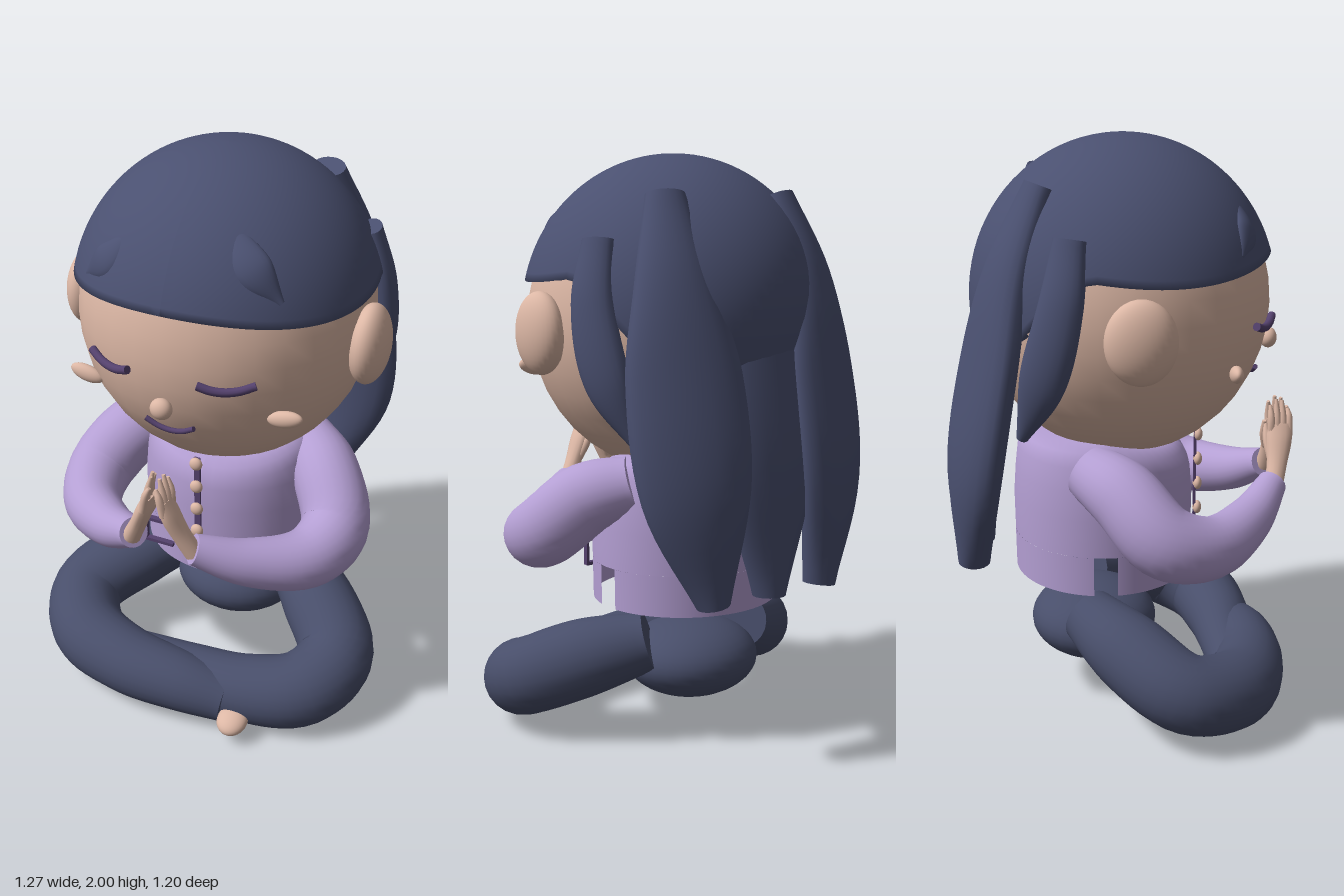
import * as THREE from 'three';

const mat = (name, color, side = THREE.FrontSide) => {
  const m = new THREE.MeshStandardMaterial({ color, side });
  m.name = name;
  return m;
};
const V = (p) => new THREE.Vector3(...p);

// Sweep an ellipse along a smooth path; sizes are [halfWidth, halfThickness] at even steps,
// thickness points towards ref. Ends are closed flat.
function sweep(path, sizes, ref, steps = 28, sides = 20) {
  const curve = new THREE.CatmullRomCurve3(path.map(V));
  const sizeCurve = new THREE.CatmullRomCurve3(sizes.map(([w, t], i) => new THREE.Vector3(w, t, i)));
  const pos = [], idx = [];
  const ring = (i) => {
    const u = i / steps, p = curve.getPoint(u), T = curve.getTangent(u), s = sizeCurve.getPoint(u);
    const side = T.clone().cross(V(ref)).normalize();
    const n = side.clone().cross(T).normalize();
    for (let j = 0; j < sides; j++) {
      const a = (j / sides) * Math.PI * 2;
      const q = p.clone().addScaledVector(side, Math.cos(a) * s.x).addScaledVector(n, Math.sin(a) * s.y);
      pos.push(q.x, q.y, q.z);
    }
    return p;
  };
  for (let i = 0; i <= steps; i++) ring(i);
  for (let i = 0; i < steps; i++) {
    for (let j = 0; j < sides; j++) {
      const a = i * sides + j, b = i * sides + ((j + 1) % sides), c = a + sides, d = b + sides;
      idx.push(a, c, b, b, c, d);
    }
  }
  for (const end of [0, steps]) {
    const base = pos.length / 3, c = ring(end), mid = pos.length / 3;
    pos.push(c.x, c.y, c.z);
    for (let j = 0; j < sides; j++) {
      const a = base + j, b = base + ((j + 1) % sides);
      if (end === 0) idx.push(mid, a, b);
      else idx.push(mid, b, a);
    }
  }
  const g = new THREE.BufferGeometry();
  g.setAttribute('position', new THREE.Float32BufferAttribute(pos, 3));
  g.setIndex(idx);
  g.computeVertexNormals();
  return g;
}

const HEAD_Y = 1.46;
const faceZ = (x, y) => 0.505 * Math.sqrt(Math.max(0, 1 - (x / 0.505) ** 2 - ((y - HEAD_Y) / 0.55) ** 2));

// Rounded hair shell whose lower edge drops at the back of the head
function hairCapGeometry() {
  const g = new THREE.SphereGeometry(1, 96, 28), p = g.attributes.position, uv = g.attributes.uv;
  for (let i = 0; i < p.count; i++) {
    const a = uv.getX(i) * Math.PI * 2, row = Math.round((1 - uv.getY(i)) * 28);
    const away = Math.abs(a > Math.PI ? a - 2 * Math.PI : a);
    const edge = 1.597 + 0.022 * Math.cos(2.6 * Math.min(away, 1.8)) - 0.32 * THREE.MathUtils.smoothstep(away, 1.75, 2.65);
    const theta = (Math.min(row, 27) / 27) * Math.acos((edge - HEAD_Y) / 0.54);
    const r = row === 28 ? 0.49 : 0.521; // last row folds in as the rim
    p.setXYZ(i, r * Math.sin(theta) * Math.sin(a), HEAD_Y + 0.54 * Math.cos(theta), r * Math.sin(theta) * Math.cos(a));
  }
  g.computeVertexNormals();
  return g;
}

export function createModel() {
  const skin = mat('skin', 0xdcb7a5);
  const hair = mat('hair', 0x4a5070, THREE.DoubleSide);
  const trousers = mat('trousers', 0x484e6a);
  const shirt = mat('shirt', 0xb49fd3, THREE.DoubleSide);
  const trim = mat('trim', 0x55426e);

  const root = new THREE.Group();
  root.name = 'meditatingFigure';
  const add = (name, geo, m, parent = root) => {
    const mesh = new THREE.Mesh(geo, m);
    mesh.name = name;
    parent.add(mesh);
    return mesh;
  };
  const ball = (name, m, c, r) => {
    const mesh = add(name, new THREE.SphereGeometry(1, 32, 20), m);
    mesh.position.set(...c);
    mesh.scale.set(...r);
    return mesh;
  };
  const line = (name, pts, r) => add(name, sweep(pts, [[r, r], [r, r]], [0, 0, 1], 16, 10), trim);

  // Head and face
  ball('head', skin, [0, HEAD_Y - 0.012, 0], [0.5, 0.535, 0.5]);
  ball('nose', skin, [0, 1.3, 0.505], [0.037, 0.036, 0.03]);
  for (const s of [-1, 1]) {
    ball('ear', skin, [s * 0.513, 1.415, 0.035], [0.066, 0.137, 0.116]);
    ball('cheek', skin, [s * 0.353, 1.266, 0.352], [0.061, 0.029, 0.022]).rotation.z = s * 0.22;
    const lid = [-1, -0.5, 0, 0.5, 1].map((t) => {
      const x = s * (0.202 + t * 0.083), y = 1.387 + 0.02 * t * t;
      return [x, y, faceZ(x, y) + 0.008];
    });
    line('closedEye', lid, 0.014);
  }
  line('mouth', [-1, -0.5, 0, 0.5, 1].map((t) => {
    const x = t * 0.085, y = 1.188 + 0.03 * t * t;
    return [x, y, faceZ(x, y) + 0.006];
  }), 0.009);

  // Hair: cap, fringe locks, long back locks and short side locks
  add('hairCap', hairCapGeometry(), hair);
  const lock = (name, path, sizes, ref) => add(name, sweep(path, sizes, ref), hair);
  lock('fringeLock', [[0.13, 1.87, 0.28], [0.24, 1.76, 0.355], [0.33, 1.66, 0.345]],
    [[0.012, 0.01], [0.06, 0.026], [0.012, 0.01]], [0.5, 0.4, 1]);
  lock('fringeLock', [[-0.16, 1.8, 0.35], [-0.24, 1.71, 0.384], [-0.32, 1.64, 0.36]],
    [[0.012, 0.01], [0.055, 0.024], [0.012, 0.01]], [-0.5, 0.4, 1]);
  for (const s of [-1, 1]) {
    lock('backLock',
      [[s * 0.235, 1.86, -0.275], [s * 0.275, 1.6, -0.375], [s * 0.285, 1.3, -0.445], [s * 0.28, 0.93, -0.505], [s * 0.225, 0.575, -0.52]],
      [[0.065, 0.045], [0.125, 0.065], [0.188, 0.072], [0.178, 0.075], [0.055, 0.055]], [s * 0.4, 0, -1]);
    lock('sideLock',
      [[s * 0.425, 1.72, -0.18], [s * 0.468, 1.52, -0.21], [s * 0.455, 1.28, -0.27], [s * 0.38, 1.07, -0.34]],
      [[0.055, 0.035], [0.075, 0.045], [0.08, 0.045], [0.02, 0.02]], [s, 0, -0.5]);
  }
  lock('middleLock',
    [[-0.03, 1.62, -0.4], [-0.03, 1.38, -0.44], [-0.02, 0.98, -0.495], [-0.01, 0.57, -0.515]],
    [[0.09, 0.04], [0.175, 0.065], [0.185, 0.075], [0.055, 0.055]], [0, 0, -1]);

  // Shirt body with a neckline dipping at the front, and tails parted by side slits
  const lathe = (name, prof, start, len) => {
    const geo = new THREE.LatheGeometry(prof.map((p) => new THREE.Vector2(...p)), 48, start, len);
    const mesh = add(name, geo, shirt);
    mesh.position.z = -0.07;
    mesh.scale.x = 1.05;
    return geo;
  };
  const body = lathe('shirtBody',
    [[0.314, 0.62], [0.316, 0.75], [0.309, 0.85], [0.3, 0.93], [0.282, 0.98], [0.245, 1.005], [0.1, 1.0]], 0, Math.PI * 2);
  const bp = body.attributes.position;
  for (let i = 0; i < bp.count; i++) {
    const high = THREE.MathUtils.smoothstep(bp.getY(i), 0.8, 1.0);
    bp.setY(i, bp.getY(i) - high * 0.25 * Math.max(0, bp.getZ(i)));
  }
  body.computeVertexNormals();
  const tail = [[0.312, 0.48], [0.313, 0.55], [0.314, 0.62]], gap = 0.13;
  lathe('frontTail', tail, -Math.PI / 2 + gap, Math.PI - 2 * gap);
  lathe('backTail', tail, Math.PI / 2 + gap, Math.PI - 2 * gap);

  // Placket, buttons and pocket outlines
  add('placket', new THREE.BoxGeometry(0.022, 0.42, 0.009), trim).position.set(0, 0.76, 0.258);
  for (let i = 0; i < 5; i++) ball('button', skin, [0, 0.58 + i * 0.0925, 0.268], [0.023, 0.024, 0.016]);
  for (const s of [-1, 1]) {
    for (const [x, y, w, h] of [[0.167, 0.64, 0.11, 0.012], [0.167, 0.55, 0.11, 0.012], [0.22, 0.595, 0.01, 0.1]]) {
      add('pocketEdge', new THREE.BoxGeometry(w, h, 0.02), trim).position.set(s * x, y, 0.23);
    }
  }

  // Sleeves and praying hands
  for (const s of [-1, 1]) {
    add('sleeve', sweep(
      [[s * 0.25, 0.905, -0.12], [s * 0.365, 0.855, -0.01], [s * 0.455, 0.73, 0.12], [s * 0.415, 0.69, 0.27], [s * 0.26, 0.725, 0.42], [s * 0.11, 0.8, 0.52]],
      [[0.098, 0.098], [0.118, 0.122], [0.118, 0.125], [0.104, 0.106], [0.08, 0.082], [0.052, 0.052]], [0, 1, 0], 36, 24), shirt);
    const hand = new THREE.Group();
    hand.name = 'hand';
    root.add(hand);
    add('palm', sweep([[s * 0.115, 0.79, 0.525], [s * 0.078, 0.865, 0.54], [s * 0.046, 0.94, 0.55], [s * 0.03, 0.995, 0.553]],
      [[0.032, 0.032], [0.028, 0.036], [0.026, 0.045], [0.015, 0.041]], [0, 0, 1], 16, 14), skin, hand);
    [1.045, 1.075, 1.08, 1.06].forEach((tip, i) => {
      const z = 0.585 - i * 0.021, spread = i * 0.004;
      add('finger', sweep([[s * 0.038, 0.95, z], [s * (0.024 + spread), 1.015, z], [s * (0.011 + spread), tip, z - 0.004]],
        [[0.013, 0.013], [0.013, 0.013], [0.006, 0.006]], [0, 0, 1], 8, 8), skin, hand);
    });
    add('thumb', sweep([[s * 0.065, 0.88, 0.52], [s * 0.036, 0.94, 0.508], [s * 0.016, 0.99, 0.505]],
      [[0.015, 0.015], [0.015, 0.015], [0.007, 0.007]], [0, 0, 1], 8, 8), skin, hand);
  }

  // Seat and crossed legs
  ball('seat', trousers, [0, 0.257, -0.105], [0.24, 0.137, 0.226]);
  const leg = (name, path, r) => add(name, sweep(path, r.map((v) => [v, v]), [0, 1, 0], 44, 24), trousers);
  leg('leftLeg', [[0.2, 0.35, -0.13], [0.365, 0.29, 0.005], [0.5, 0.205, 0.17], [0.435, 0.15, 0.32], [0.25, 0.125, 0.38], [0.03, 0.13, 0.385], [-0.2, 0.135, 0.39]],
    [0.1, 0.134, 0.136, 0.134, 0.122, 0.098, 0.085]);
  leg('rightLeg', [[-0.2, 0.35, -0.13], [-0.365, 0.29, 0.005], [-0.502, 0.2, 0.19], [-0.41, 0.16, 0.365], [-0.2, 0.145, 0.445], [0.02, 0.135, 0.455], [0.19, 0.11, 0.44]],
    [0.1, 0.134, 0.134, 0.134, 0.122, 0.108, 0.088]);
  ball('rightFoot', skin, [0.245, 0.08, 0.505], [0.055, 0.036, 0.062]).rotation.x = 0.3;
  ball('leftFoot', skin, [-0.22, 0.125, 0.36], [0.05, 0.035, 0.045]);

  return root;
}
